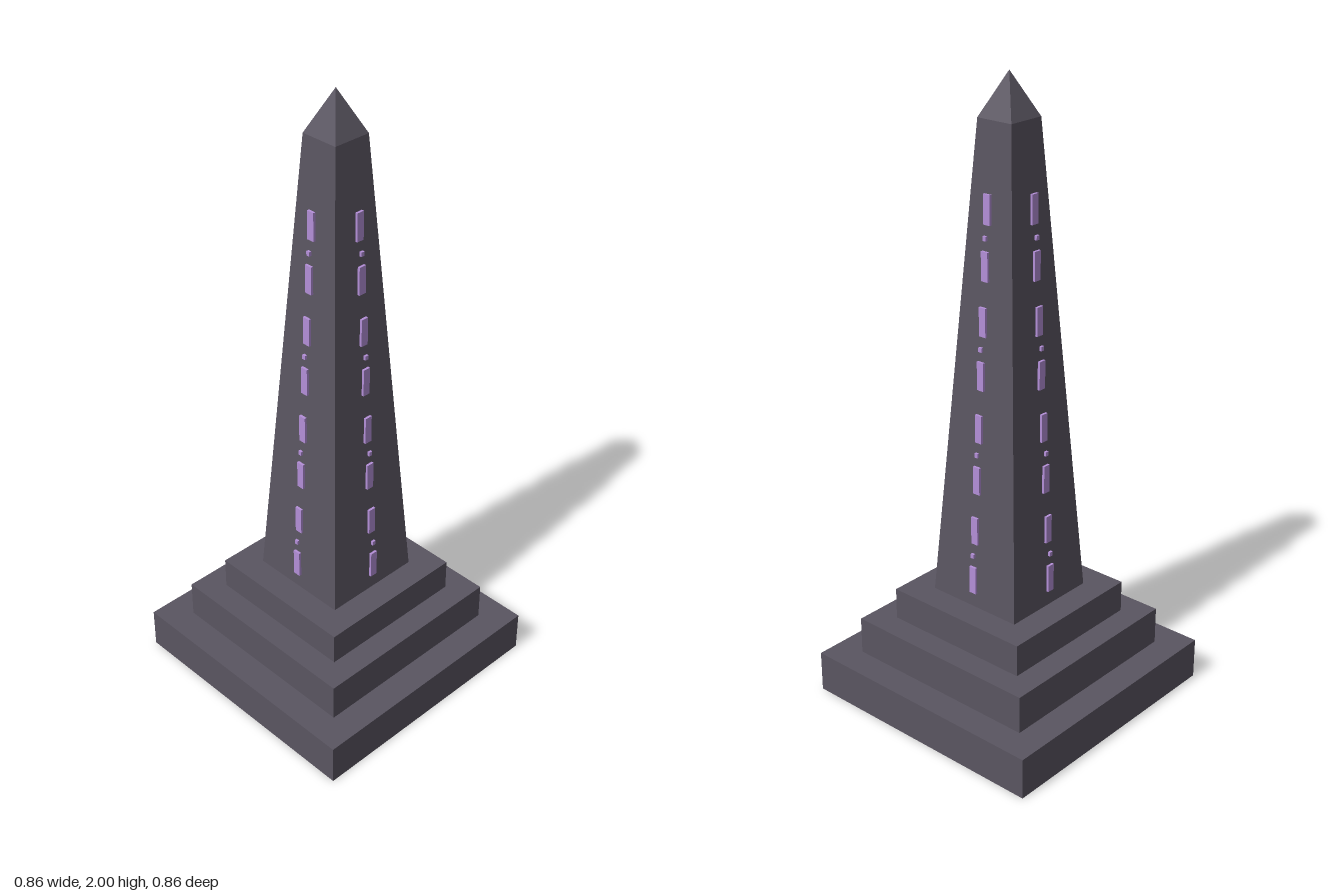
import * as THREE from 'three';

const stone = new THREE.MeshStandardMaterial({ color: 0x5a5561, side: THREE.DoubleSide });
stone.name = 'darkStone';
const glow = new THREE.MeshStandardMaterial({ color: 0xb48fd8 });
glow.name = 'violetRune';

function addMesh(parent, name, geometry, material, x = 0, y = 0, z = 0) {
  const mesh = new THREE.Mesh(geometry, material);
  mesh.name = name;
  mesh.position.set(x, y, z);
  parent.add(mesh);
  return mesh;
}

// Box with its underside left open
function openBox(size, height) {
  const geometry = new THREE.BoxGeometry(size, height, size);
  const index = Array.from(geometry.index.array);
  index.splice(18, 6);
  geometry.setIndex(index);
  geometry.clearGroups();
  return geometry;
}

// Four-sided taper with flat faces square to the axes
function squareTaper(halfTop, halfBottom, height) {
  const geometry = new THREE.CylinderGeometry(
    halfTop * Math.SQRT2, halfBottom * Math.SQRT2, height, 4, 1, true);
  geometry.rotateY(Math.PI / 4);
  const flat = geometry.toNonIndexed();
  flat.computeVertexNormals();
  return flat;
}

export function createModel() {
  const model = new THREE.Group();
  model.name = 'obelisk';

  // Stepped base: half width, bottom, top
  const tiers = [[0.429, 0, 0.135], [0.335, 0.135, 0.258], [0.254, 0.258, 0.362]];
  tiers.forEach(([half, y0, y1], i) => {
    addMesh(model, `baseStep${i + 1}`, openBox(half * 2, y1 - y0), stone, 0, (y0 + y1) / 2, 0);
  });

  // Tapered shaft and pointed cap
  addMesh(model, 'shaft', squareTaper(0.0635, 0.167, 1.506), stone, 0, 1.115, 0);
  addMesh(model, 'pointedCap', squareTaper(0, 0.0635, 0.132), stone, 0, 1.934, 0);

  // Column of floating runes in front of each face
  const bar = new THREE.BoxGeometry(0.025, 0.09, 0.008);
  const dot = new THREE.BoxGeometry(0.012, 0.014, 0.008);
  for (let side = 0; side < 4; side++) {
    const column = new THREE.Group();
    column.name = `runeColumn${side + 1}`;
    column.rotation.y = side * Math.PI / 2;
    for (let i = 0; i < 8; i++) {
      const y = 0.455 + i * 0.1664;
      const z = 0.168 - i * 0.0105;
      addMesh(column, 'runeBar', bar, glow, 0, y, z);
      if (i % 2 === 0) addMesh(column, 'runeDot', dot, glow, 0, y + 0.084, z);
    }
    model.add(column);
  }
  return model;
}
